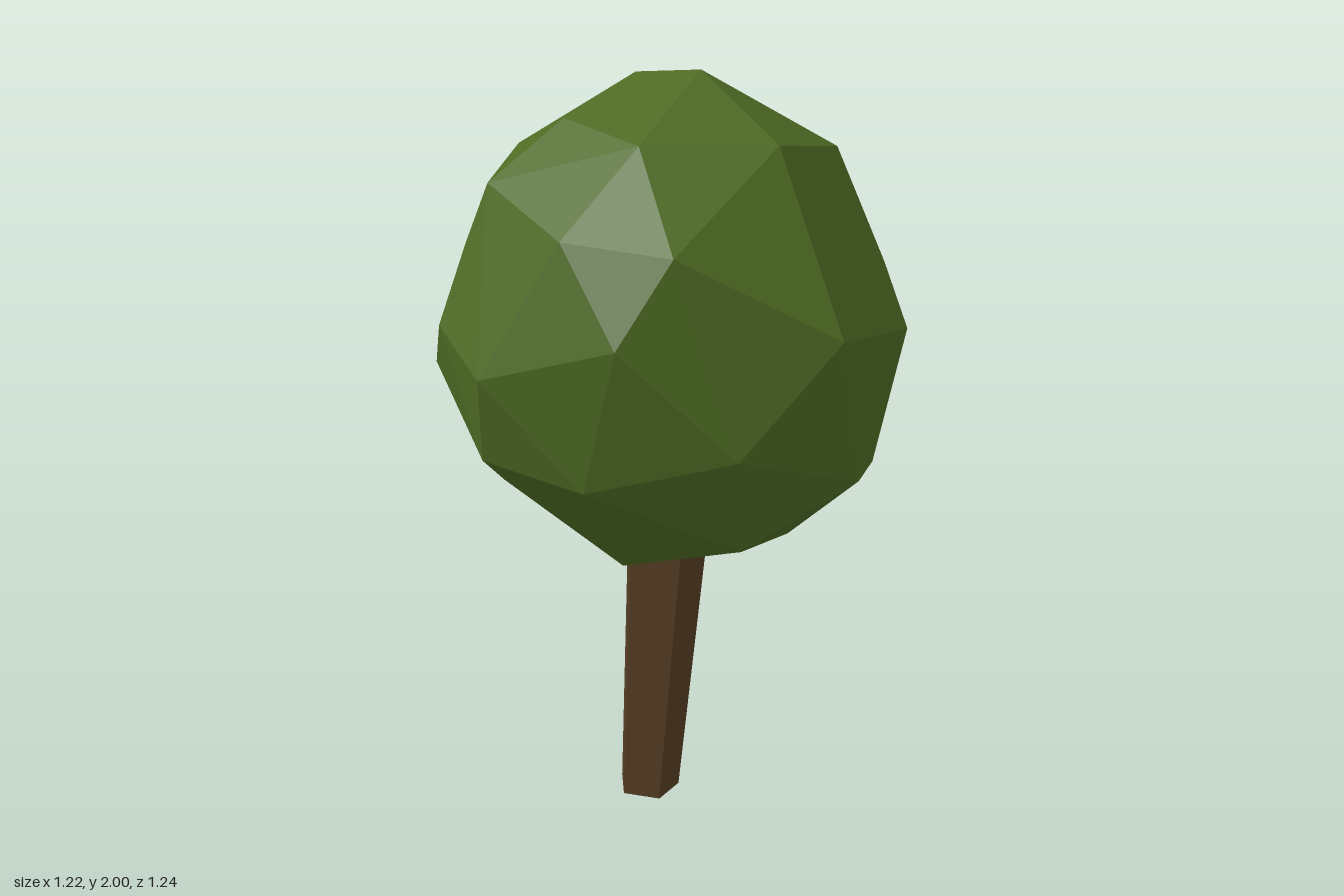
import * as THREE from 'three';
import { ConvexGeometry } from 'three/addons/geometries/ConvexGeometry.js';

const material = (name, color, side = THREE.FrontSide) => {
  const m = new THREE.MeshStandardMaterial({ color, side, flatShading: true });
  m.name = name;
  return m;
};

// Corners of the faceted crown, from the top ring down
const CROWN = [
  [0.07, 2.0, 0], [0, 1.965, -0.28], [0.28, 1.9, -0.24], [-0.28, 1.9, -0.01], [0.14, 1.86, 0.32],
  [-0.19, 1.87, 0.27], [-0.3, 1.79, -0.34], [0.42, 1.8, 0.05], [-0.48, 1.76, 0.01],
  [-0.41, 1.68, 0.35], [0.24, 1.69, -0.5], [0.49, 1.67, -0.31], [-0.2, 1.66, 0.52],
  [-0.45, 1.54, -0.34], [-0.2, 1.56, -0.58], [0.607, 1.47, -0.03], [-0.34, 1.46, 0.52],
  [0.19, 1.45, 0.59], [-0.61, 1.42, 0], [0.525, 1.4, -0.34], [0.49, 1.39, 0.33],
  [-0.03, 1.38, -0.62], [-0.58, 1.34, 0.23], [-0.58, 1.28, -0.17], [-0.43, 1.22, -0.42],
  [0.39, 1.24, -0.48], [-0.08, 1.2, 0.62], [0.57, 1.15, -0.15], [-0.55, 1.11, 0.14],
  [-0.38, 1.09, 0.4], [0.06, 1.08, -0.51], [0.3, 1.06, 0.47], [0.49, 0.99, 0.17],
  [-0.42, 0.95, -0.14], [0, 0.91, 0.45], [0.27, 0.865, -0.3], [-0.17, 0.865, -0.28],
  [0.25, 0.82, 0.17], [-0.21, 0.805, 0.19],
];

export function createModel() {
  const tree = new THREE.Group();
  tree.name = 'tree';

  // Crown: one faceted convex ball
  const crown = new THREE.Mesh(
    new ConvexGeometry(CROWN.map((p) => new THREE.Vector3(...p))),
    material('leaf green', 0x4e6b24),
  );
  crown.name = 'crown';

  // Trunk: open five-sided tube, widening upwards and leaning to meet the crown
  const height = 0.92;
  const trunkShape = new THREE.CylinderGeometry(0.121, 0.086, height, 5, 1, true)
    .scale(1, 1, 1.08)
    .translate(0, height / 2, 0);
  const pos = trunkShape.attributes.position;
  for (let i = 0; i < pos.count; i++) {
    const y = pos.getY(i);
    pos.setX(i, pos.getX(i) - 0.04 + 0.05 * y);
    pos.setZ(i, pos.getZ(i) - 0.106 + 0.046 * y);
  }
  trunkShape.computeVertexNormals();
  const trunk = new THREE.Mesh(trunkShape, material('bark brown', 0x553d24, THREE.DoubleSide));
  trunk.name = 'trunk';

  tree.add(crown, trunk);
  return tree;
}
